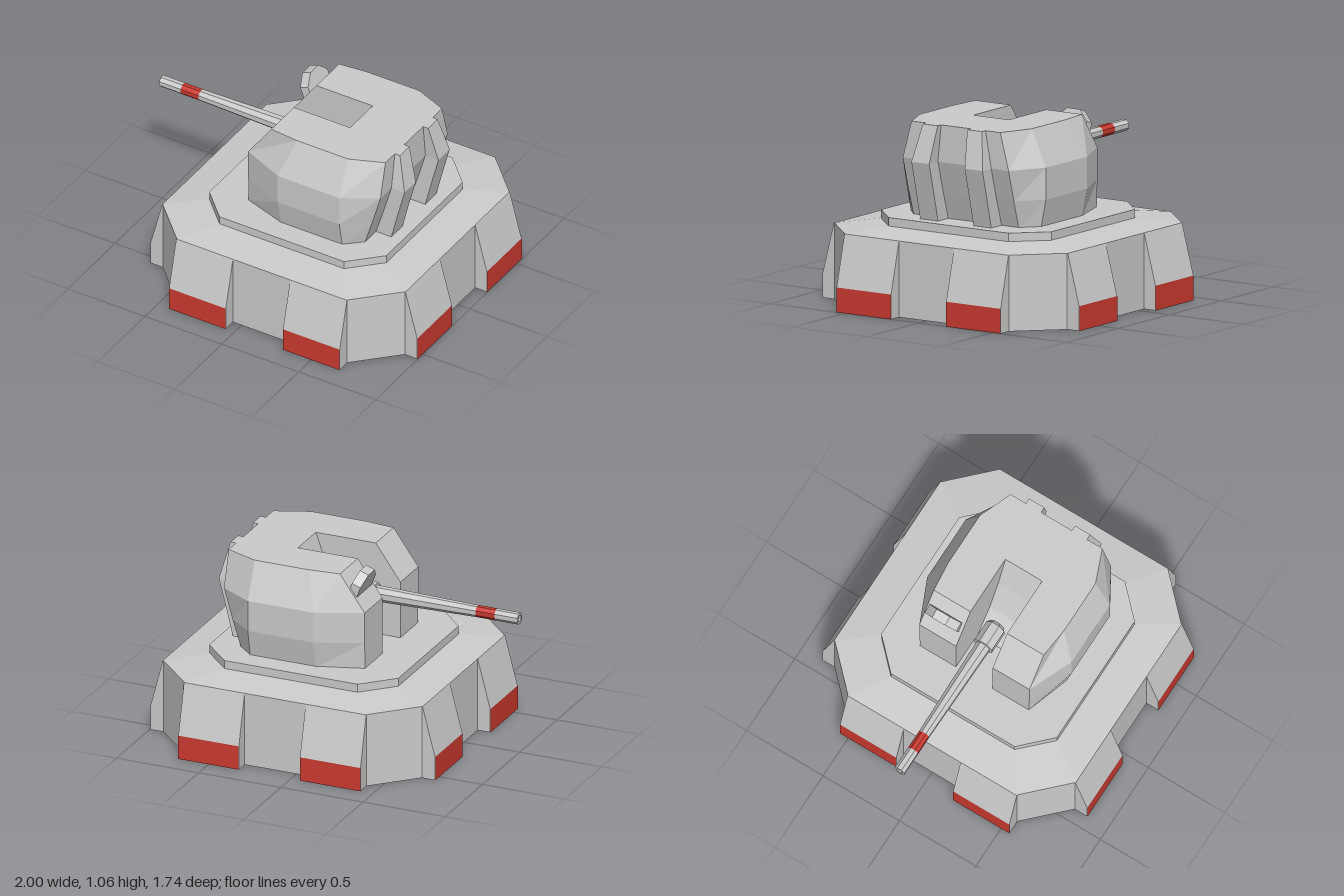
import * as THREE from 'three';

const grey = new THREE.MeshStandardMaterial({ color: 0xcccccc, flatShading: true });
const red = new THREE.MeshStandardMaterial({ color: 0xcc3a30, flatShading: true });

function part(name, geometry, material = grey) {
  const mesh = new THREE.Mesh(geometry, material);
  mesh.name = name;
  return mesh;
}

// Skin a stack of rings { y, loop: [[x, z], ...] }, loops counter-clockwise from above
function loft(rings) {
  const n = rings[0].loop.length;
  const pos = [], index = [];
  rings.forEach(({ y, loop }) => loop.forEach(([x, z]) => pos.push(x, y, z)));
  for (let r = 0; r < rings.length - 1; r++) {
    for (let i = 0; i < n; i++) {
      const a = r * n + i, b = r * n + (i + 1) % n;
      index.push(a, b, b + n, a, b + n, a + n);
    }
  }
  const cap = (r, flip) => {
    const contour = rings[r].loop.map(([x, z]) => new THREE.Vector2(x, -z));
    for (const [a, b, c] of THREE.ShapeUtils.triangulateShape(contour, [])) {
      index.push(r * n + a, r * n + (flip ? c : b), r * n + (flip ? b : c));
    }
  };
  cap(0, true);
  cap(rings.length - 1, false);
  const g = new THREE.BufferGeometry();
  g.setAttribute('position', new THREE.Float32BufferAttribute(pos, 3));
  g.setIndex(index);
  const flat = g.toNonIndexed();
  flat.computeVertexNormals();
  return flat;
}

// Square with cut corners
function octagon(h, cut) {
  const k = h - cut;
  return [[-h, -k], [-h, k], [-k, h], [k, h], [h, k], [h, -k], [k, -h], [-k, -h]];
}

// C-shaped turret outline, open to -x, with two ribs on the rear
function turretRing({ y, slot, front, frontZ, side, sideX, rear, cornerZ, rib, ribIn, ribOut }) {
  const half = [
    [slot, 0.12], [front, 0.12], [front, frontZ], [sideX, side], [0.44, side],
    [rear, cornerZ], [rear, ribOut], [rib, ribOut], [rib, ribIn], [rear, ribIn],
  ];
  const mirrored = half.map(([x, z]) => [x, -z]).reverse();
  return { y, loop: [...half, ...mirrored] };
}

// Eight-sided solid of revolution along -x
function barrelPart(name, profile, material) {
  const g = new THREE.LatheGeometry(profile.map(([r, d]) => new THREE.Vector2(r, d)), 8, Math.PI / 8);
  const mesh = part(name, g, material);
  mesh.rotation.z = Math.PI / 2;
  return mesh;
}

function buildBase() {
  const base = new THREE.Group();
  base.name = 'base';
  base.position.x = 0.13;
  base.add(part('foundation', loft([
    { y: 0, loop: octagon(0.79, 0.24) },
    { y: 0.43, loop: octagon(0.79, 0.24) },
    { y: 0.457, loop: octagon(0.575, 0.17) },
    { y: 0.505, loop: octagon(0.575, 0.17) },
  ])));

  // Sloped buttresses, two on each side, with a red panel at the foot
  const width = 0.368;
  const profile = new THREE.Shape([[0.75, 0], [0.866, 0], [0.866, 0.14], [0.79, 0.43], [0.75, 0.43]]
    .map(([x, y]) => new THREE.Vector2(x, y)));
  const buttressGeo = new THREE.ExtrudeGeometry(profile, { depth: width, bevelEnabled: false });
  buttressGeo.translate(0, 0, -width / 2);
  const panelGeo = new THREE.PlaneGeometry(width, 0.14).rotateY(Math.PI / 2).translate(0.868, 0.07, 0);
  for (let s = 0; s < 4; s++) {
    const side = new THREE.Group();
    side.name = 'buttressPair';
    side.rotation.y = s * Math.PI / 2;
    for (const z of [-0.37, 0.37]) {
      const buttress = part('buttress', buttressGeo);
      const panel = part('redPanel', panelGeo, red);
      buttress.position.z = panel.position.z = z;
      side.add(buttress, panel);
    }
    base.add(side);
  }
  return base;
}

function buildGun() {
  const gun = new THREE.Group();
  gun.name = 'gun';
  gun.position.y = 0.805;
  gun.add(
    barrelPart('breech', [[0, -0.02], [0.045, -0.02], [0.062, 0], [0.062, 0.13], [0, 0.13]]),
    barrelPart('barrel', [[0.046, 0.12], [0.044, 0.22], [0.034, 0.745]]),
    barrelPart('redBand', [[0.034, 0.745], [0.034, 0.86]], red),
    barrelPart('muzzle', [[0.034, 0.86], [0.034, 1], [0.02, 1], [0.02, 0.95], [0, 0.95]]),
  );
  return gun;
}

export function createModel() {
  const model = new THREE.Group();
  model.name = 'gunTurret';
  model.add(buildBase());

  // Armoured housing, widest at mid height
  model.add(part('turretHousing', loft([
    { y: 0.5, slot: 0, front: -0.22, frontZ: 0.355, side: 0.44, sideX: 0.04, rear: 0.535, cornerZ: 0.355, rib: 0.635, ribIn: 0.12, ribOut: 0.24 },
    { y: 0.66, slot: 0.13, front: -0.22, frontZ: 0.36, side: 0.472, sideX: 0.04, rear: 0.585, cornerZ: 0.357, rib: 0.675, ribIn: 0.12, ribOut: 0.24 },
    { y: 0.84, slot: 0.22, front: -0.22, frontZ: 0.36, side: 0.472, sideX: 0.04, rear: 0.637, cornerZ: 0.357, rib: 0.722, ribIn: 0.12, ribOut: 0.24 },
    { y: 1.05, slot: 0.295, front: -0.07, frontZ: 0.36, side: 0.378, sideX: 0.11, rear: 0.635, cornerZ: 0.3, rib: 0.668, ribIn: 0.1, ribOut: 0.2 },
  ].map(turretRing))));

  model.add(buildGun());

  // Tilted eight-sided disc on the front slope
  const sight = part('sightDisc', new THREE.CylinderGeometry(0.112, 0.112, 0.055, 8, 1, false, Math.PI / 8));
  sight.position.set(-0.147, 0.95, -0.242);
  sight.rotation.z = Math.PI / 2 + 0.36;
  model.add(sight);

  return model;
}
